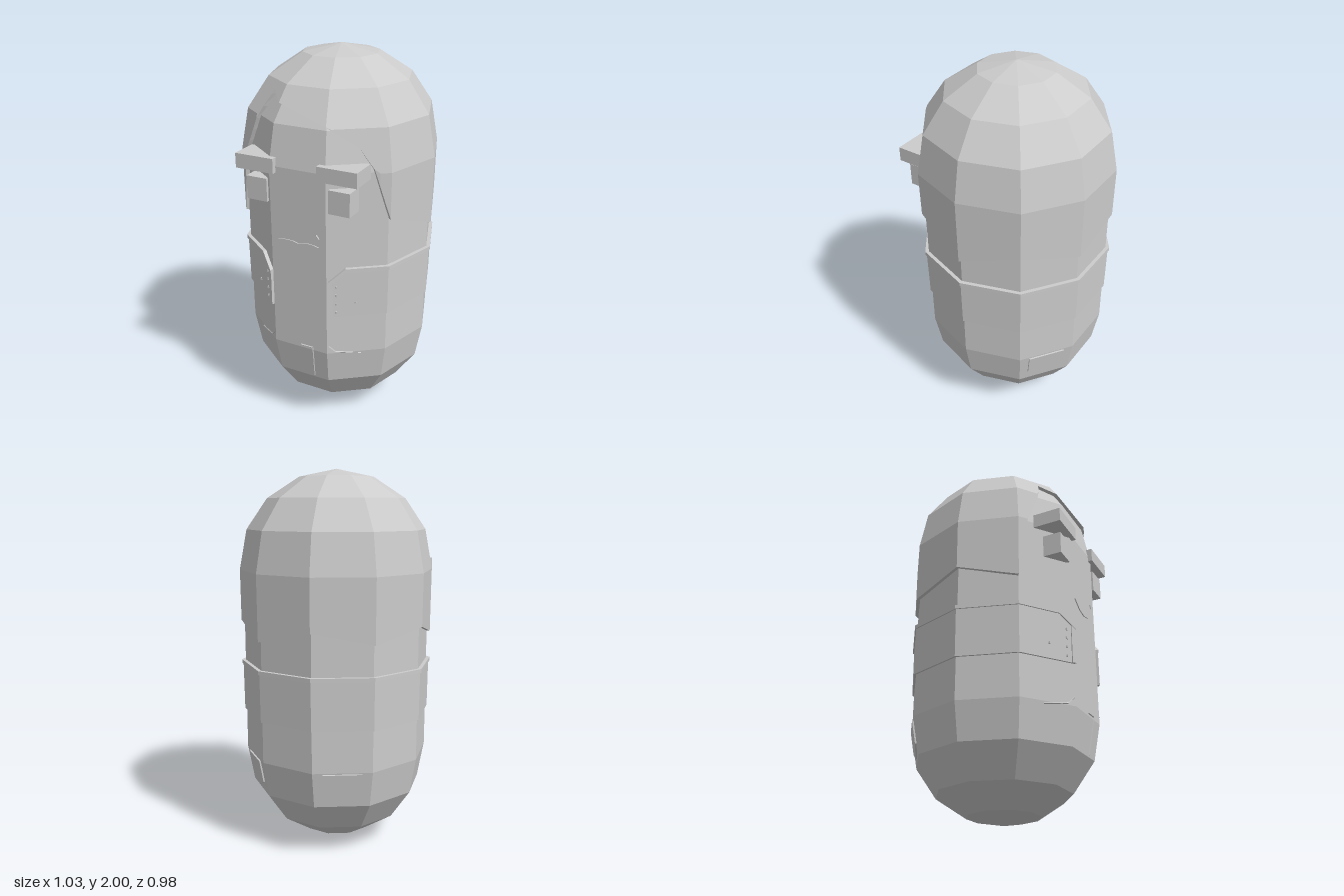
import * as THREE from 'three';

const SIDES = 10, STEP = 360 / SIDES;
const mat = new THREE.MeshStandardMaterial({ color: 0xcccccc, flatShading: true, side: THREE.DoubleSide });

// Profiles as [height, radius], bottom to top
const bodyProfile = [[0.005, 0], [0.045, 0.19], [0.15, 0.35], [0.31, 0.46], [0.5, 0.495],
  [1.48, 0.495], [1.68, 0.455], [1.84, 0.35], [1.945, 0.185], [1.985, 0]];
const hairProfile = [[1.1, 0.512], [1.48, 0.515], [1.69, 0.475], [1.85, 0.365], [1.96, 0.195], [2, 0]];

// Piecewise linear lookup in a list of [key, value]
function lerpTable(table, k) {
  if (k <= table[0][0]) return table[0][1];
  for (let i = 1; i < table.length; i++) {
    const [k0, v0] = table[i - 1], [k1, v1] = table[i];
    if (k <= k1) return v0 + (v1 - v0) * (k - k0) / (k1 - k0);
  }
  return table[table.length - 1][1];
}

// Point on the ten-sided column; angle in degrees from +x toward +z
function onColumn(deg, y, r) {
  const local = ((deg % STEP) + STEP) % STEP - STEP / 2;
  const rad = THREE.MathUtils.degToRad;
  const f = r * Math.cos(rad(STEP / 2)) / Math.cos(rad(local));
  return new THREE.Vector3(f * Math.cos(rad(deg)), y, f * Math.sin(rad(deg)));
}

// Shell around the column between two hem curves, with its edges turned inward
function shell(profile, angles, bottom, top, thickness, openEnds) {
  const rows = profile.map(p => p[0]);
  const cols = angles.map(a => {
    const lo = bottom(a), hi = top(a);
    const ys = [lo, ...rows.map(y => Math.min(Math.max(y, lo), hi)), hi];
    const inner = y => onColumn(a, y, Math.max(0, lerpTable(profile, y) - thickness));
    return {
      face: [inner(lo), ...ys.map(y => onColumn(a, y, lerpTable(profile, y))), inner(hi)],
      sunk: [inner(lo), ...ys.map(inner), inner(hi)]
    };
  });
  const lines = cols.map(c => c.face);
  if (openEnds) {
    lines.unshift(cols[0].sunk);
    lines.push(cols[cols.length - 1].sunk);
  }
  const pos = [];
  const tri = (a, b, c) => {
    const area = b.clone().sub(a).cross(c.clone().sub(a)).length();
    if (area > 1e-8) for (const p of [a, b, c]) pos.push(p.x, p.y, p.z);
  };
  for (let i = 0; i + 1 < lines.length; i++) {
    const p = lines[i], q = lines[i + 1];
    for (let j = 0; j + 1 < p.length; j++) {
      tri(p[j], p[j + 1], q[j + 1]);
      tri(p[j], q[j + 1], q[j]);
    }
  }
  const geo = new THREE.BufferGeometry();
  geo.setAttribute('position', new THREE.Float32BufferAttribute(pos, 3));
  geo.computeVertexNormals();
  return geo;
}

function range(from, to, step) {
  const list = [];
  for (let a = from; a < to; a += step) list.push(a);
  return [...list, to];
}

export function createModel() {
  const model = new THREE.Group();
  const add = (name, geo, parent = model) => {
    const mesh = new THREE.Mesh(geo, mat);
    mesh.name = name;
    parent.add(mesh);
    return mesh;
  };
  const box = (name, w, h, d, x, y, z) => add(name, new THREE.BoxGeometry(w, h, d)).position.set(x, y, z);

  // Thin raised seam through a few points
  const seam = (name, points, radius = 0.004) => {
    const group = new THREE.Group();
    group.name = name;
    for (let i = 0; i + 1 < points.length; i++) {
      add(name, new THREE.TubeGeometry(new THREE.LineCurve3(points[i], points[i + 1]), 1, radius, 4), group);
    }
    model.add(group);
  };
  const onBody = (deg, y) => onColumn(deg, y, lerpTable(bodyProfile, y));

  // Body
  add('body', new THREE.LatheGeometry(
    bodyProfile.map(([y, r]) => new THREE.Vector2(r, y)), SIDES, Math.PI / 2));

  // Hair: cap with a parting at the front and a zigzag hem behind
  const hem = [[0, 1.13], [35.8, 1.24], [45, 1.5], [53, 1.6], [72, 1.7], [107, 1.77], [122, 1.81],
    [138, 1.48], [144, 1.14], [180, 1.21], [216, 1.15], [252, 1.21], [288, 1.14], [324, 1.21], [360, 1.13]];
  const hairAngles = [...new Set([...range(0, 360, 3), ...hem.map(h => h[0])])].sort((a, b) => a - b);
  add('hair', shell(hairProfile, hairAngles, a => lerpTable(hem, a), () => 2, 0.035, false));

  // Jacket: band open at the front, with slanted corners and a raised trim
  const jacketTop = [[108, 0.91], [118, 0.98], [421, 0.98], [431, 0.91]];
  const jacketAngles = [108, 113, 118, ...range(144, 396, STEP), 421, 426, 431];
  const top = a => lerpTable(jacketTop, a);
  add('jacket', shell([[0.72, 0.505], [0.98, 0.508]], jacketAngles, () => 0.72, top, 0.03, true));
  add('jacketTrim', shell([[0.7, 0.515], [1, 0.515]], jacketAngles, a => top(a) - 0.008, a => top(a) + 0.012, 0.03, true));
  for (const [from, to] of [[108, 110.5], [428.5, 431]]) {
    add('jacketFrontTrim', shell([[0.7, 0.511], [1, 0.511]], [from, to], () => 0.72, top, 0.03, true));
  }

  // Mirrored face and clothing details
  for (const s of [-1, 1]) {
    const mirror = deg => s > 0 ? deg : 180 - deg;
    box('eyebrow', 0.21, 0.075, 0.15, s * 0.222, 1.487, 0.42);
    box('eye', 0.113, 0.12, 0.1, s * 0.225, 1.35, 0.425);
    seam('frontPocket', [[71, 0.545], [67, 0.51], [51, 0.488]].map(([a, y]) => onBody(mirror(a), y)));

    // Buttons
    for (let i = 0; i < 4; i++) {
      const p = onColumn(mirror(66.5), 0.75 + i * 0.048, 0.507);
      box('button', 0.008, 0.012, 0.008, p.x, p.y, p.z);
    }
    const stud = onColumn(mirror(55), 0.8, 0.507);
    box('button', 0.008, 0.012, 0.008, stud.x, stud.y, stud.z);

    // Back pocket: five-sided patch lying on the tapered side
    const patch = new THREE.Shape([[-0.1, 0.085], [-0.1, -0.035], [0, -0.085], [0.1, -0.035], [0.1, 0.085]]
      .map(([x, y]) => new THREE.Vector2(x, y)));
    const pocket = add('backPocket', new THREE.ExtrudeGeometry(patch, { depth: 0.008, bevelEnabled: false }));
    pocket.position.copy(onBody(mirror(306), 0.41));
    pocket.rotation.order = 'YXZ';
    pocket.rotation.y = s * THREE.MathUtils.degToRad(144);
    pocket.rotation.x = 0.175;
  }

  // Mouth
  const lips = new THREE.Shape();
  lips.moveTo(-0.115, 1.1);
  lips.quadraticCurveTo(-0.06, 1.12, 0, 1.1);
  lips.quadraticCurveTo(0.06, 1.12, 0.115, 1.1);
  lips.quadraticCurveTo(0, 1.0, -0.115, 1.1);
  const mouth = add('mouth', new THREE.ExtrudeGeometry(lips, { depth: 0.01, bevelEnabled: false, curveSegments: 4 }));
  mouth.position.z = 0.466;
  seam('mouthCorner', [new THREE.Vector3(0.1, 1.165, 0.471), new THREE.Vector3(0.115, 1.145, 0.471)]);

  // Trouser fly
  seam('fly', [[90, 0.515], [81.5, 0.515], [81.5, 0.5], [82, 0.32]].map(([a, y]) => onBody(a, y)));

  return model;
}
